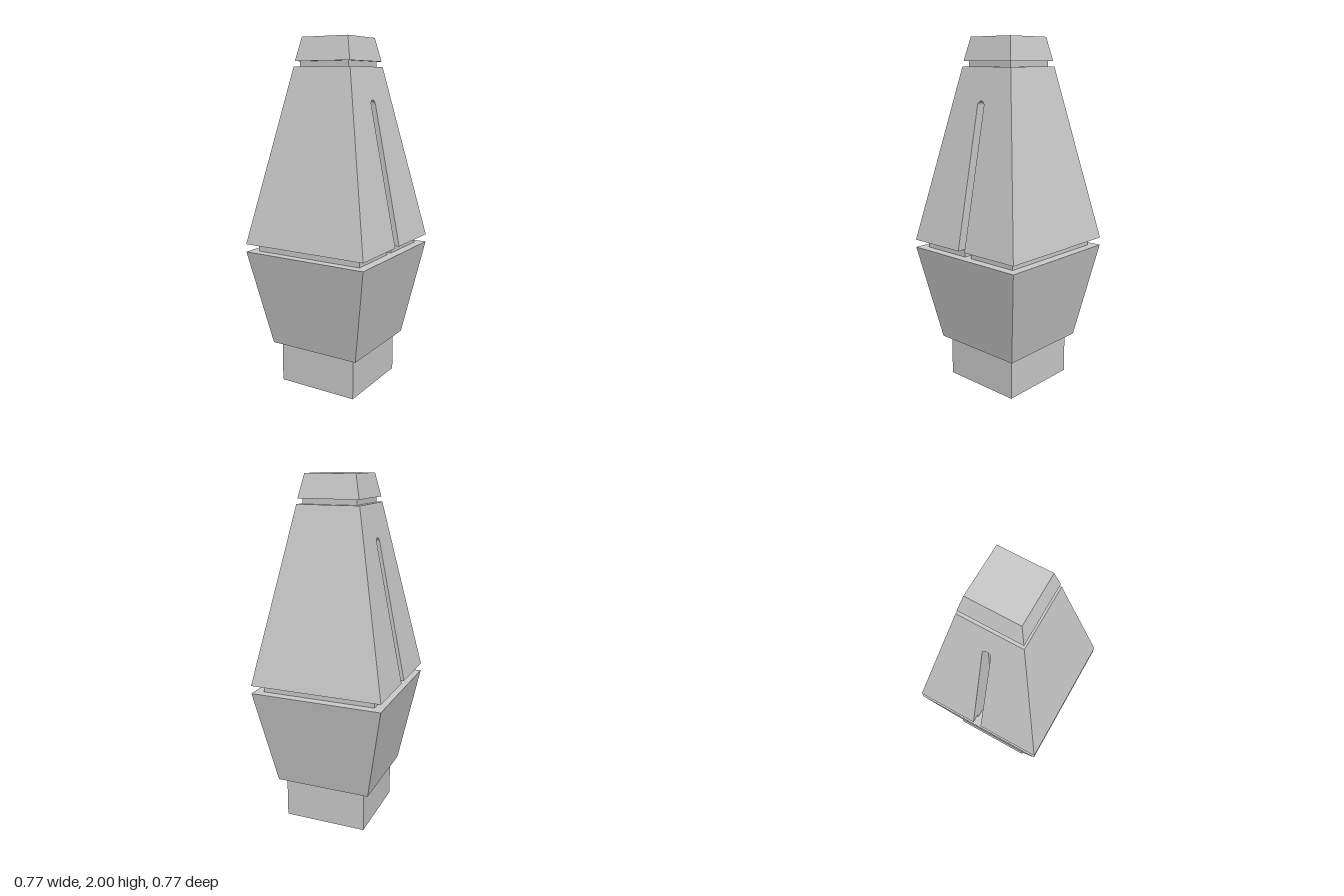
import * as THREE from 'three';
import { mergeGeometries } from 'three/addons/utils/BufferGeometryUtils.js';

const grey = new THREE.MeshStandardMaterial({ color: 0xcccccc, flatShading: true });

// Upper body: height range and half widths
const Y0 = 0.85, Y1 = 1.84, H0 = 0.384, H1 = 0.181;
// Slot: half width, top, and x of its upright floor
const W = 0.024, SLOT_TOP = 1.66, FLOOR = 0.17;
const faceAt = (y) => H0 + (H1 - H0) * (y - Y0) / (Y1 - Y0);

function add(group, name, geometry) {
  const mesh = new THREE.Mesh(geometry, grey);
  mesh.name = name;
  group.add(mesh);
}

// Square block tapering from half width a at y0 to half width b at y1
function taper(a, b, y0, y1) {
  const g = new THREE.CylinderGeometry(b * Math.SQRT2, a * Math.SQRT2, y1 - y0, 4)
    .rotateY(Math.PI / 4)
    .translate(0, (y0 + y1) / 2, 0)
    .toNonIndexed();
  g.computeVertexNormals();
  return g;
}

const toShape = (points) => new THREE.Shape(points.map(([u, v]) => new THREE.Vector2(u, v)));

// Flat shape whose points are placed in space by a rule
function patch(points, place) {
  const g = new THREE.ShapeGeometry(toShape(points)).toNonIndexed();
  const p = g.attributes.position;
  for (let i = 0; i < p.count; i++) p.setXYZ(i, ...place(p.getX(i), p.getY(i)));
  g.computeVertexNormals();
  return g;
}

// Slot outline: up one side, round the top, down the other
function slotOutline() {
  const points = [[-W, Y0]];
  const n = 12;
  for (let i = 0; i <= n; i++) {
    const a = Math.PI * (1 - i / n);
    points.push([W * Math.cos(a), SLOT_TOP - W + W * Math.sin(a)]);
  }
  points.push([W, Y0]);
  return points;
}

// Walls joining the slot outline on the sloping face to the slot floor
function slotWalls(outline) {
  const v = [];
  for (let i = 0; i < outline.length - 1; i++) {
    const [[u0, y0], [u1, y1]] = [outline[i], outline[i + 1]];
    const a = [faceAt(y0), y0, -u0], b = [faceAt(y1), y1, -u1];
    const c = [FLOOR, y0, -u0], d = [FLOOR, y1, -u1];
    v.push(...a, ...c, ...b, ...b, ...c, ...d);
  }
  const g = new THREE.BufferGeometry();
  g.setAttribute('position', new THREE.Float32BufferAttribute(v, 3));
  g.setAttribute('uv', new THREE.Float32BufferAttribute(new Array(v.length / 3 * 2).fill(0), 2));
  g.computeVertexNormals();
  return g;
}

// Square plan with a notch for the slot on both x sides
const notchedPlan = (h) => [
  [h, W], [h, h], [-h, h], [-h, W], [-FLOOR, W], [-FLOOR, -W],
  [-h, -W], [-h, -h], [h, -h], [h, -W], [FLOOR, -W], [FLOOR, W],
];

function upperBody() {
  const outline = slotOutline();
  const half = [
    // slotted side face
    patch([[-H0, Y0], ...outline, [H0, Y0], [H1, Y1], [-H1, Y1]], (u, v) => [faceAt(v), v, -u]),
    // slot floor and walls
    patch([...outline].reverse(), (u, v) => [FLOOR, v, -u]),
    slotWalls(outline),
    // plain front face
    patch([[-H0, Y0], [H0, Y0], [H1, Y1], [-H1, Y1]], (u, v) => [u, v, faceAt(v)]),
  ];
  const opposite = half.map((g) => g.clone().rotateY(Math.PI));
  const top = patch([[-H1, -H1], [H1, -H1], [H1, H1], [-H1, H1]], (u, v) => [u, Y1, -v]);
  const underside = patch(notchedPlan(H0), (u, v) => [u, Y0, v]);
  return mergeGeometries([...half, ...opposite, top, underside]);
}

export function createModel() {
  const model = new THREE.Group();
  model.name = 'taperedPillar';

  add(model, 'foot', taper(0.243, 0.243, 0, 0.243));
  add(model, 'lowerBody', taper(0.28, H0, 0.243, 0.805));

  // Recessed waist, notched where the slots run through it
  const waist = new THREE.ExtrudeGeometry(toShape(notchedPlan(0.332)), { depth: Y0 - 0.805, bevelEnabled: false });
  add(model, 'waist', waist.rotateX(-Math.PI / 2).translate(0, 0.805, 0));

  add(model, 'slottedUpperBody', upperBody());
  add(model, 'neck', taper(0.155, 0.155, Y1, 1.87));
  add(model, 'cap', taper(0.176, 0.147, 1.87, 2));
  return model;
}
